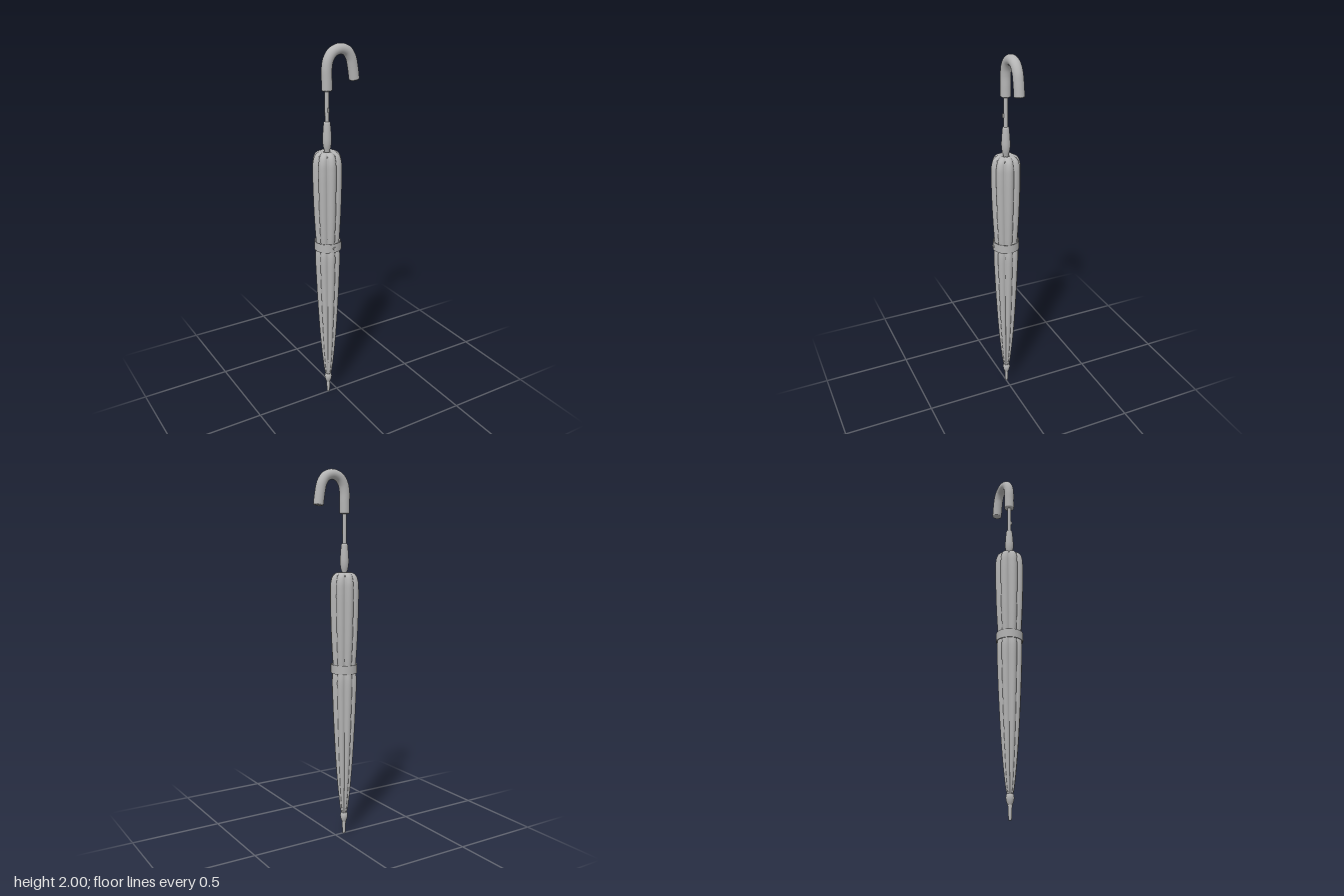
import * as THREE from 'three';

const LOBES = 8;
const LOBE_ANGLE = 0.12; // direction of the first pleat crest

// Surface swept around y: radius from a smooth profile, modulated by pleats of given depth
function pleatedGeometry(profile, depth, rows, cols) {
  const curve = new THREE.CatmullRomCurve3(profile.map(([r, y]) => new THREE.Vector3(r, y, 0)));
  const pos = [], index = [];
  for (let j = 0; j <= rows; j++) {
    const p = curve.getPoint(j / rows);
    for (let i = 0; i < cols; i++) {
      const a = LOBE_ANGLE + (i / cols) * Math.PI * 2;
      const crest = Math.pow(Math.abs(Math.cos((a - LOBE_ANGLE) * LOBES / 2)), 0.8);
      const r = p.x * (1 - depth * (1 - crest));
      pos.push(r * Math.cos(a), p.y, r * Math.sin(a));
      if (j < rows) {
        const n = (i + 1) % cols, a0 = j * cols + i, b0 = a0 + cols, c0 = j * cols + n, d0 = c0 + cols;
        index.push(a0, b0, c0, c0, b0, d0);
      }
    }
  }
  const g = new THREE.BufferGeometry();
  g.setAttribute('position', new THREE.Float32BufferAttribute(pos, 3));
  g.setIndex(index);
  g.computeVertexNormals();
  return g;
}

const lathe = (pts, seg = 32) =>
  new THREE.LatheGeometry(pts.map(([r, y]) => new THREE.Vector2(r, y)), seg);

export function createModel() {
  const model = new THREE.Group();
  model.name = 'closedUmbrella';
  const umbrella = new THREE.Group();
  umbrella.name = 'umbrella';
  umbrella.position.set(-0.055, 0, -0.003);
  model.add(umbrella);

  const grey = new THREE.MeshStandardMaterial({ color: 0xb4b4b4, side: THREE.DoubleSide });
  grey.name = 'grey';
  const add = (name, geometry, x = 0, y = 0, z = 0) => {
    const mesh = new THREE.Mesh(geometry, grey);
    mesh.name = name;
    mesh.position.set(x, y, z);
    umbrella.add(mesh);
    return mesh;
  };

  // Furled canopy, pinched under the strap
  add('canopy', pleatedGeometry([
    [0.012, 0.115], [0.02, 0.14], [0.033, 0.24], [0.047, 0.4], [0.059, 0.6], [0.067, 0.78],
    [0.07, 0.89], [0.066, 0.93], [0.064, 0.96], [0.067, 1.0], [0.074, 1.12], [0.079, 1.27],
    [0.08, 1.37], [0.077, 1.42], [0.066, 1.451], [0.045, 1.467], [0.025, 1.467], [0.009, 1.455],
  ], 0.2, 110, 96));

  // Rib tips in the valleys near the top
  for (let i = 0; i < LOBES; i++) {
    const a = LOBE_ANGLE + ((i + 0.5) / LOBES) * Math.PI * 2;
    const tip = add('ribTip', new THREE.CapsuleGeometry(0.004, 0.014, 4, 8),
      0.053 * Math.cos(a), 1.443, 0.053 * Math.sin(a));
    tip.rotation.y = -a;
  }

  // Strap band, its overlapping end and the snap button
  add('strap', lathe([
    [0.067, 0.926], [0.071, 0.926], [0.071, 0.926], [0.071, 0.974], [0.071, 0.974], [0.067, 0.974], [0.067, 0.926],
  ], 40));
  add('strapEnd', new THREE.CylinderGeometry(0.075, 0.075, 0.046, 12, 1, true, -0.08, 0.95), 0, 0.95, 0);
  add('strapButton', new THREE.CylinderGeometry(0.009, 0.009, 0.006, 16), 0, 0.95, 0.076)
    .rotation.x = Math.PI / 2;

  // Shaft with its release catch
  add('shaft', new THREE.CylinderGeometry(0.011, 0.011, 1.68, 20), 0, 0.95, 0);
  add('releaseCatch', new THREE.BoxGeometry(0.006, 0.022, 0.012), 0, 1.68, 0.012);

  // Sliding runner above the canopy
  add('runner', lathe([
    [0.011, 1.45], [0.014, 1.472], [0.019, 1.485], [0.023, 1.51], [0.0235, 1.535],
    [0.021, 1.575], [0.018, 1.61], [0.016, 1.618], [0.011, 1.62],
  ]));

  // Bottom collar and ferrule
  add('collar', lathe([
    [0.01, 0.07], [0.014, 0.077], [0.019, 0.092], [0.021, 0.106], [0.019, 0.12], [0.012, 0.128],
  ]));
  add('ferrule', lathe([
    [0, 0], [0.006, 0], [0.008, 0.004], [0.0115, 0.078], [0, 0.08],
  ], 20));

  // Hooked handle
  const path = new THREE.CatmullRomCurve3([
    [0, 1.78], [0, 1.83], [0, 1.885], [0.009, 1.927], [0.034, 1.96], [0.075, 1.973],
    [0.114, 1.961], [0.138, 1.928], [0.149, 1.885], [0.159, 1.82],
  ].map(([x, y]) => new THREE.Vector3(x, y, 0)));
  add('handle', new THREE.TubeGeometry(path, 64, 0.027, 24));

  // Rounded caps on both handle ends
  for (const t of [0, 1]) {
    const out = path.getTangentAt(t).multiplyScalar(t ? 1 : -1);
    const p = path.getPointAt(t);
    const cap = add('handleCap', lathe([[0.027, 0], [0.025, 0.004], [0.021, 0.006], [0, 0.006]], 24), p.x, p.y, p.z);
    cap.quaternion.setFromUnitVectors(new THREE.Vector3(0, 1, 0), out);
  }
  return model;
}
